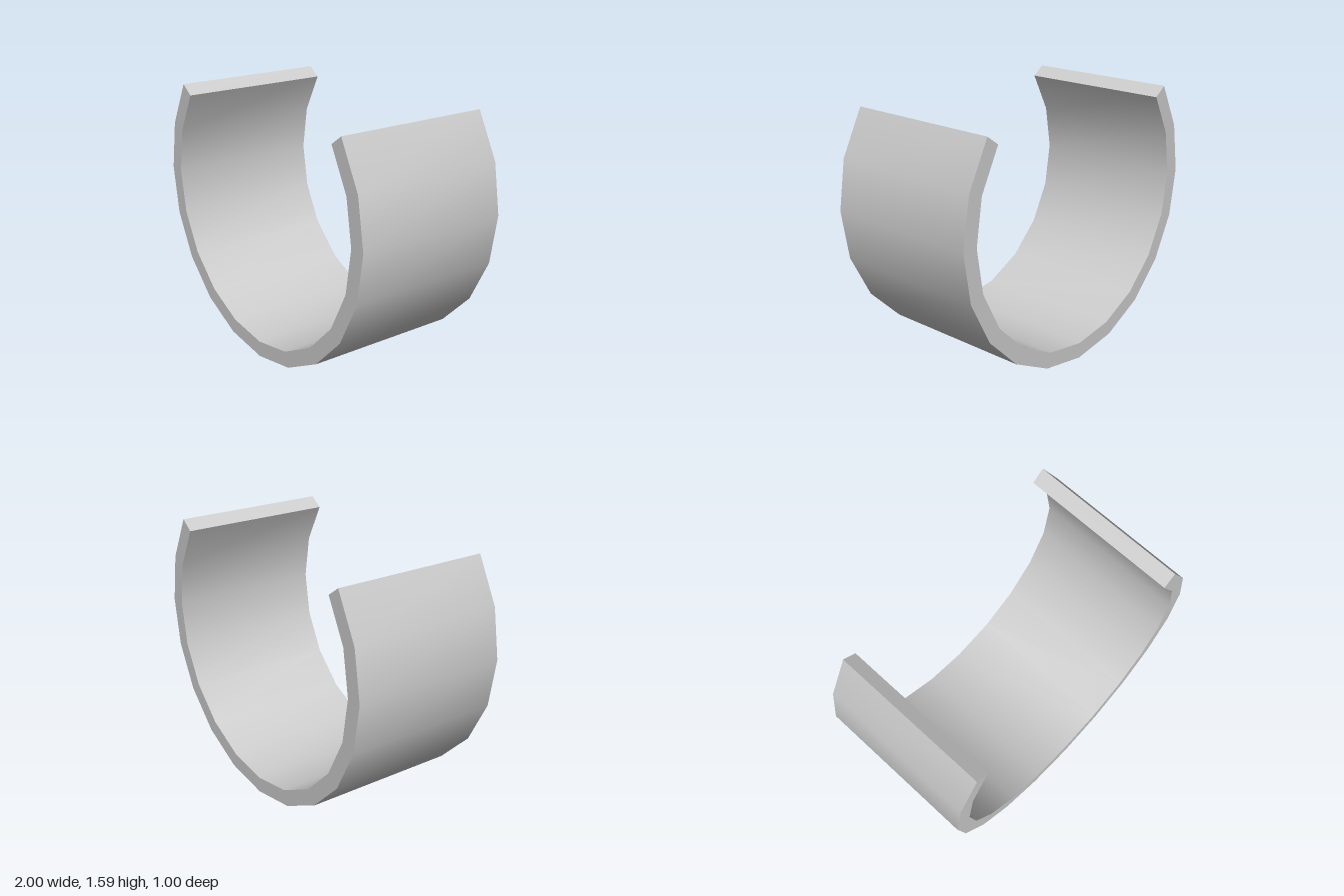
import * as THREE from 'three';
import { toCreasedNormals } from 'three/addons/utils/BufferGeometryUtils.js';

const OUTER = 1, INNER = 0.9, WIDTH = 1, SEGMENTS = 14;
const STEP = Math.PI / 10; // 20-sided ring, 14 sides kept
const START = 2 * STEP; // right lip of the gap at the top

// Points along an arc, running clockwise from one lip round the bottom to the other
function arc(radius) {
  return Array.from({ length: SEGMENTS + 1 }, (_, i) => {
    const a = START - i * STEP;
    return new THREE.Vector2(radius * Math.cos(a), radius * Math.sin(a));
  });
}

export function createModel() {
  const group = new THREE.Group();
  group.name = 'openRing';

  // C-shaped cross-section: outer arc out, inner arc back
  const section = new THREE.Shape([...arc(OUTER), ...arc(INNER).reverse()]);
  let geometry = new THREE.ExtrudeGeometry(section, { depth: WIDTH, bevelEnabled: false });
  geometry.translate(0, OUTER, -WIDTH / 2);

  // Smooth round the band, sharp at rims and lips
  geometry = toCreasedNormals(geometry, Math.PI / 6);

  const band = new THREE.Mesh(geometry, new THREE.MeshStandardMaterial({ color: 0xcccccc }));
  band.name = 'curvedBand';
  group.add(band);
  return group;
}
